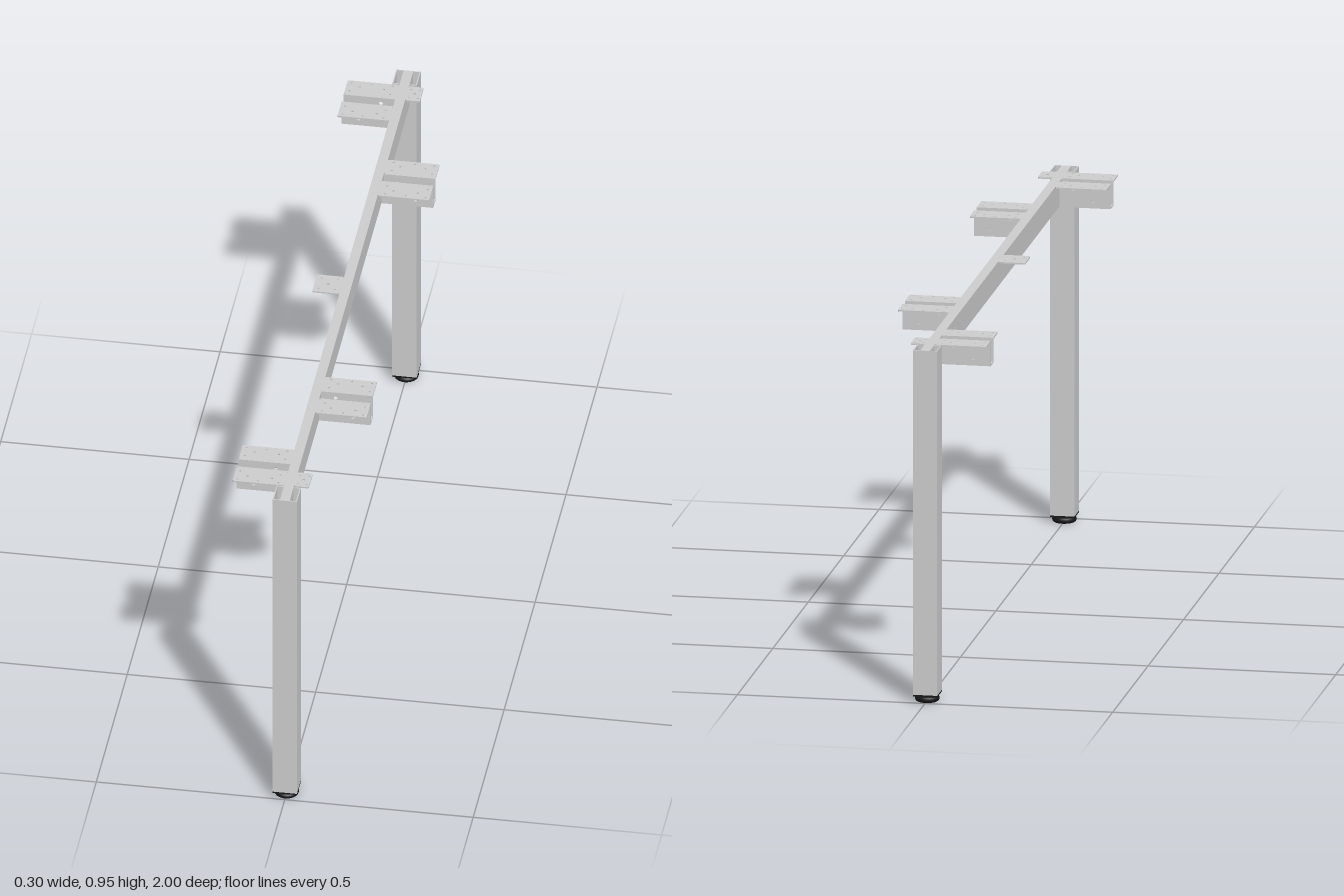
import * as THREE from 'three';

const TOP = 0.953, BEAM_H = 0.067, T = 0.004, BEAM_X = 0.013, LEG = 0.0325;

const steel = new THREE.MeshStandardMaterial({ color: 0xcccccc });
const rubber = new THREE.MeshStandardMaterial({ color: 0x161616 });

function add(parent, name, geometry, x = 0, y = 0, z = 0, material = steel) {
  const mesh = new THREE.Mesh(geometry, material);
  mesh.name = name;
  mesh.position.set(x, y, z);
  parent.add(mesh);
  return mesh;
}

// Thin sheet in the xy plane, corners rounded by r, with holes [x, y, radius]
function sheet(x0, x1, y0, y1, r, holes = []) {
  const s = new THREE.Shape();
  s.moveTo(x0 + r, y0);
  s.lineTo(x1 - r, y0);
  s.quadraticCurveTo(x1, y0, x1, y0 + r);
  s.lineTo(x1, y1 - r);
  s.quadraticCurveTo(x1, y1, x1 - r, y1);
  s.lineTo(x0 + r, y1);
  s.quadraticCurveTo(x0, y1, x0, y1 - r);
  s.lineTo(x0, y0 + r);
  s.quadraticCurveTo(x0, y0, x0 + r, y0);
  for (const [x, y, radius] of holes) {
    s.holes.push(new THREE.Path().absarc(x, y, radius, 0, Math.PI * 2, true));
  }
  return new THREE.ExtrudeGeometry(s, { depth: T, bevelEnabled: false, curveSegments: 6 });
}

// Same sheet laid flat, its top face on y = 0
function flatSheet(...args) {
  return sheet(...args).rotateX(-Math.PI / 2).translate(0, -T, 0);
}

// Hat-section arm: two drilled flanges and a U channel, running from the beam to +x
function createArm() {
  const arm = new THREE.Group();
  arm.name = 'bracketArm';
  const x0 = BEAM_X, x1 = 0.15, half = 0.02, outer = 0.083, length = x1 - x0;
  for (const side of [-1, 1]) {
    const holes = [];
    for (const x of [0.03, 0.085, 0.138]) holes.push([x, side * 0.073, 0.003]);
    for (const x of [0.05, 0.115]) holes.push([x, side * 0.056, 0.0035]);
    for (const x of [0.03, 0.138]) holes.push([x, side * 0.036, 0.003]);
    const edges = [side * half, side * outer].sort((a, b) => a - b);
    add(arm, 'flange', flatSheet(x0, x1, edges[0], edges[1], 0.005, holes), 0, TOP);
    // The wall's outer face is flush with the channel width
    const wall = sheet(x0, x1, TOP - BEAM_H - 0.001, TOP, 0.001,
      [[0.051, 0.935, 0.0055], [0.104, 0.905, 0.0055]]);
    add(arm, 'channelWall', wall, 0, 0, side > 0 ? half - T : -half);
  }
  add(arm, 'channelFloor', new THREE.BoxGeometry(length, T, 2 * half - 2 * T),
    (x0 + x1) / 2, TOP - BEAM_H + T / 2 - 0.001, 0);
  return arm;
}

// Small drilled mounting tab lying flat
function createTab(x0, x1, halfZ) {
  const cx = (x0 + x1) / 2, dx = (x1 - x0) * 0.3, dz = halfZ * 0.6;
  const holes = [[cx, 0, 0.004]];
  for (const sx of [-1, 1]) for (const sz of [-1, 1]) holes.push([cx + sx * dx, sz * dz, 0.0025]);
  return flatSheet(x0, x1, -halfZ, halfZ, 0.005, holes);
}

// Hollow square leg, open on top, with a plug and a levelling foot
function createLeg() {
  const leg = new THREE.Group();
  leg.name = 'leg';
  const s = new THREE.Shape([
    new THREE.Vector2(-LEG, -LEG), new THREE.Vector2(LEG, -LEG),
    new THREE.Vector2(LEG, LEG), new THREE.Vector2(-LEG, LEG)]);
  const i = LEG - 0.003;
  s.holes.push(new THREE.Path([
    new THREE.Vector2(-i, -i), new THREE.Vector2(-i, i),
    new THREE.Vector2(i, i), new THREE.Vector2(i, -i)]));
  const tube = new THREE.ExtrudeGeometry(s, { depth: TOP - 0.022, bevelEnabled: false });
  add(leg, 'legTube', tube.rotateX(-Math.PI / 2), 0, 0.022, 0);
  add(leg, 'legPlug', new THREE.BoxGeometry(LEG * 2, 0.004, LEG * 2), 0, 0.02, 0, rubber);
  add(leg, 'legPlugCore', new THREE.BoxGeometry(i * 2, 0.03, i * 2), 0, 0.035, 0, rubber);
  const profile = [[0, 0], [0.027, 0], [0.031, 0.003], [0.0325, 0.008], [0.031, 0.013],
    [0.026, 0.015], [0.012, 0.016], [0.012, 0.019]].map(p => new THREE.Vector2(...p));
  add(leg, 'levellingFoot', new THREE.LatheGeometry(profile, 32), 0, 0, 0, rubber);
  return leg;
}

export function createModel() {
  const model = new THREE.Group();
  model.name = 'tableFrame';

  // Long rail through both legs
  add(model, 'beam', new THREE.BoxGeometry(BEAM_X * 2, BEAM_H, 1.998), 0, TOP - BEAM_H / 2, 0);

  for (const end of [-1, 1]) {
    const leg = createLeg();
    leg.position.z = end * (1 - LEG);
    model.add(leg);

    // Inner arm towards +x, outer arm towards -x
    const inner = createArm();
    inner.position.z = end * 0.505;
    const outer = createArm();
    outer.rotation.y = Math.PI;
    outer.position.z = end * 0.848;
    model.add(inner, outer);

    // Short tab opposite the outer arm
    add(model, 'endTab', createTab(BEAM_X, 0.052, 0.032), 0, TOP, end * 0.897);
  }

  add(model, 'centreTab', createTab(-0.085, -BEAM_X, 0.039), 0, TOP, 0);
  return model;
}
